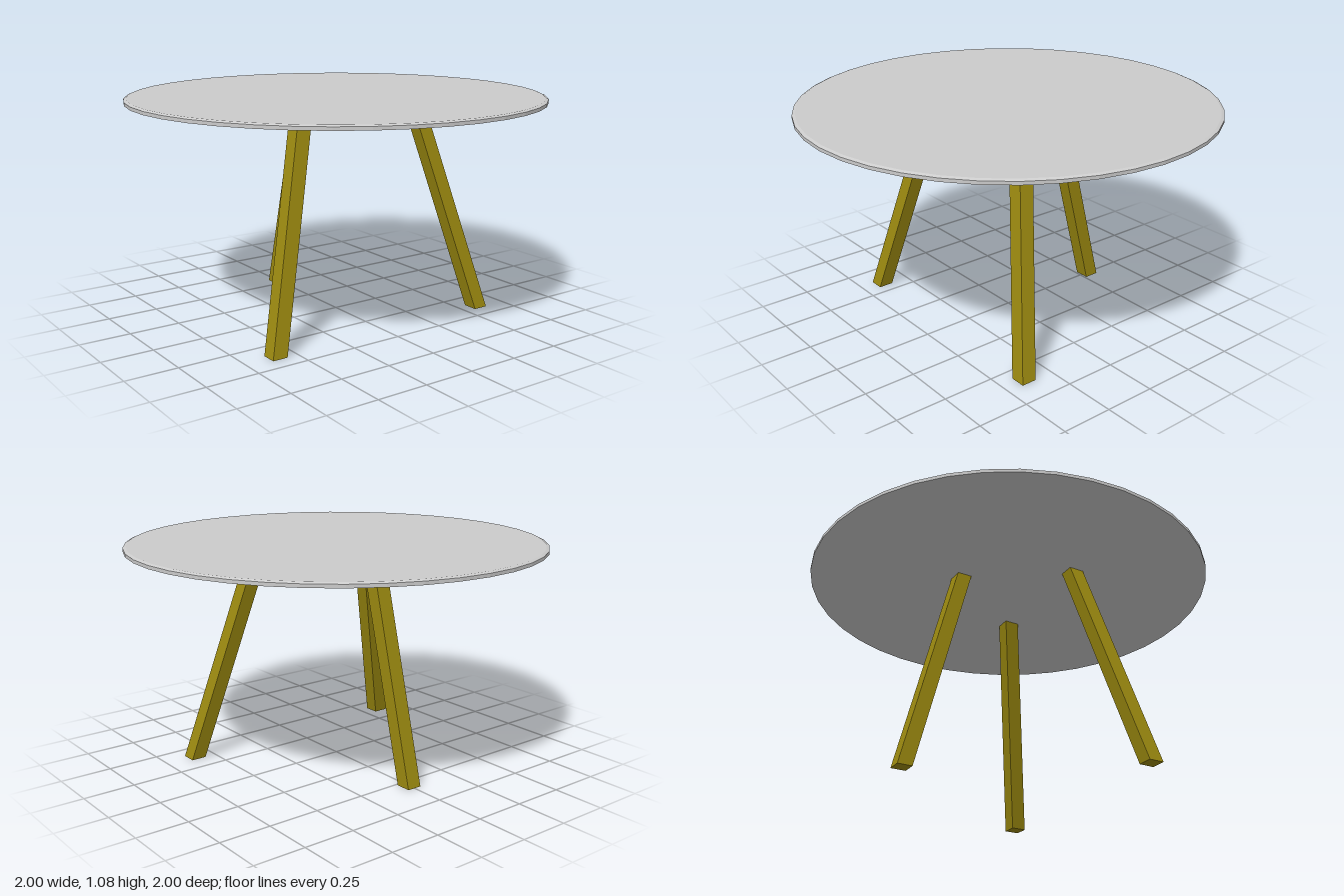
import * as THREE from 'three';

const TOP_Y = 1.08, UNDER_Y = 1.058, LEG = 0.074;

// Square leg with level ends, leaning from its foot to its head
function makeLeg(name, foot, head, material) {
  const geo = new THREE.BoxGeometry(LEG, UNDER_Y, LEG).translate(0, UNDER_Y / 2, 0);
  const pos = geo.attributes.position;
  for (let i = 0; i < pos.count; i++) {
    const t = pos.getY(i) / UNDER_Y;
    pos.setX(i, pos.getX(i) + THREE.MathUtils.lerp(foot[0], head[0], t));
    pos.setZ(i, pos.getZ(i) + THREE.MathUtils.lerp(foot[1], head[1], t));
  }
  geo.computeVertexNormals();
  const leg = new THREE.Mesh(geo, material);
  leg.name = name;
  return leg;
}

export function createModel() {
  const model = new THREE.Group();
  model.name = 'roundTable';
  const grey = new THREE.MeshStandardMaterial({ color: 0xcccccc, flatShading: true });
  const wood = new THREE.MeshStandardMaterial({ color: 0x9c8a10 });

  // Thin round top with a slight bevel on its upper rim
  const profile = [[0, UNDER_Y], [1, UNDER_Y], [1, TOP_Y - 0.006], [0.986, TOP_Y], [0, TOP_Y]]
    .map(([r, y]) => new THREE.Vector2(r, y));
  const top = new THREE.Mesh(new THREE.LatheGeometry(profile, 40), grey);
  top.name = 'tableTop';
  model.add(top);

  // Two splayed front legs and one back leg
  for (const [name, s] of [['frontLeftLeg', 1], ['frontRightLeg', -1]]) {
    model.add(makeLeg(name, [s * 0.594, 0.385], [s * 0.318, 0.185], wood));
  }
  model.add(makeLeg('backLeg', [0, -0.547], [0, -0.271], wood));
  return model;
}
